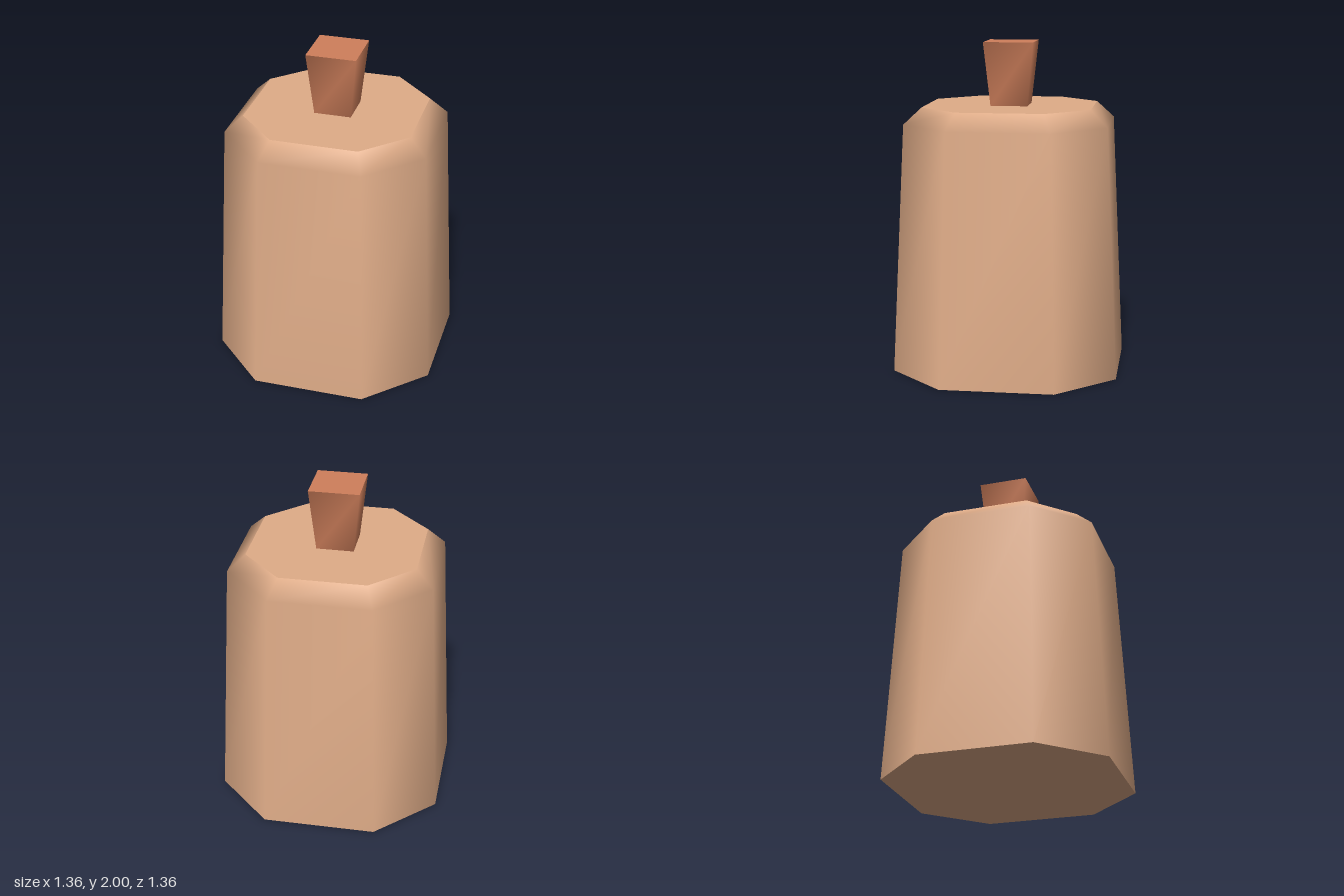
import * as THREE from 'three';

// Corners of a chamfered square: half width w, half length of each straight side f
const octagon = (w, f) => [[w, -f], [w, f], [f, w], [-f, w], [-w, f], [-w, -f], [-f, -w], [f, -w]];
const square = (w) => [[w, -w], [w, w], [-w, w], [-w, -w]];

// Lofts rings of corners: smooth shared normals on the sides, flat separate caps
function loft(rings) {
  const pos = [], index = [], n = rings[0].pts.length;
  const add = ({ y, pts }) => {
    const start = pos.length / 3;
    pts.forEach(([x, z]) => pos.push(x, y, z));
    return start;
  };
  rings.forEach(add);
  for (let r = 0; r < rings.length - 1; r++) {
    for (let i = 0; i < n; i++) {
      const a = r * n + i, b = r * n + (i + 1) % n;
      index.push(a, a + n, b, b, a + n, b + n);
    }
  }
  const bottom = add(rings[0]);
  const top = add(rings[rings.length - 1]);
  for (let i = 1; i < n - 1; i++) {
    index.push(bottom, bottom + i, bottom + i + 1);
    index.push(top, top + i + 1, top + i);
  }
  const geo = new THREE.BufferGeometry();
  geo.setAttribute('position', new THREE.Float32BufferAttribute(pos, 3));
  geo.setIndex(index);
  geo.computeVertexNormals();
  return geo;
}

export function createModel() {
  const group = new THREE.Group();
  const paleTan = new THREE.MeshStandardMaterial({ name: 'paleTan', color: 0xdfac88 });
  const redBrown = new THREE.MeshStandardMaterial({ name: 'redBrown', color: 0xcf7f5b });

  // Tapered eight-sided body with a bevelled shoulder
  const body = new THREE.Mesh(loft([
    { y: 0, pts: octagon(0.68, 0.34) },
    { y: 1.515, pts: octagon(0.61, 0.305) },
    { y: 1.615, pts: octagon(0.507, 0.26) },
  ]), paleTan);
  body.name = 'body';

  // Square stem that widens upward
  const stem = new THREE.Mesh(loft([
    { y: 1.615, pts: square(0.112) },
    { y: 2, pts: square(0.151) },
  ]), redBrown);
  stem.name = 'stem';

  group.add(body, stem);
  return group;
}
